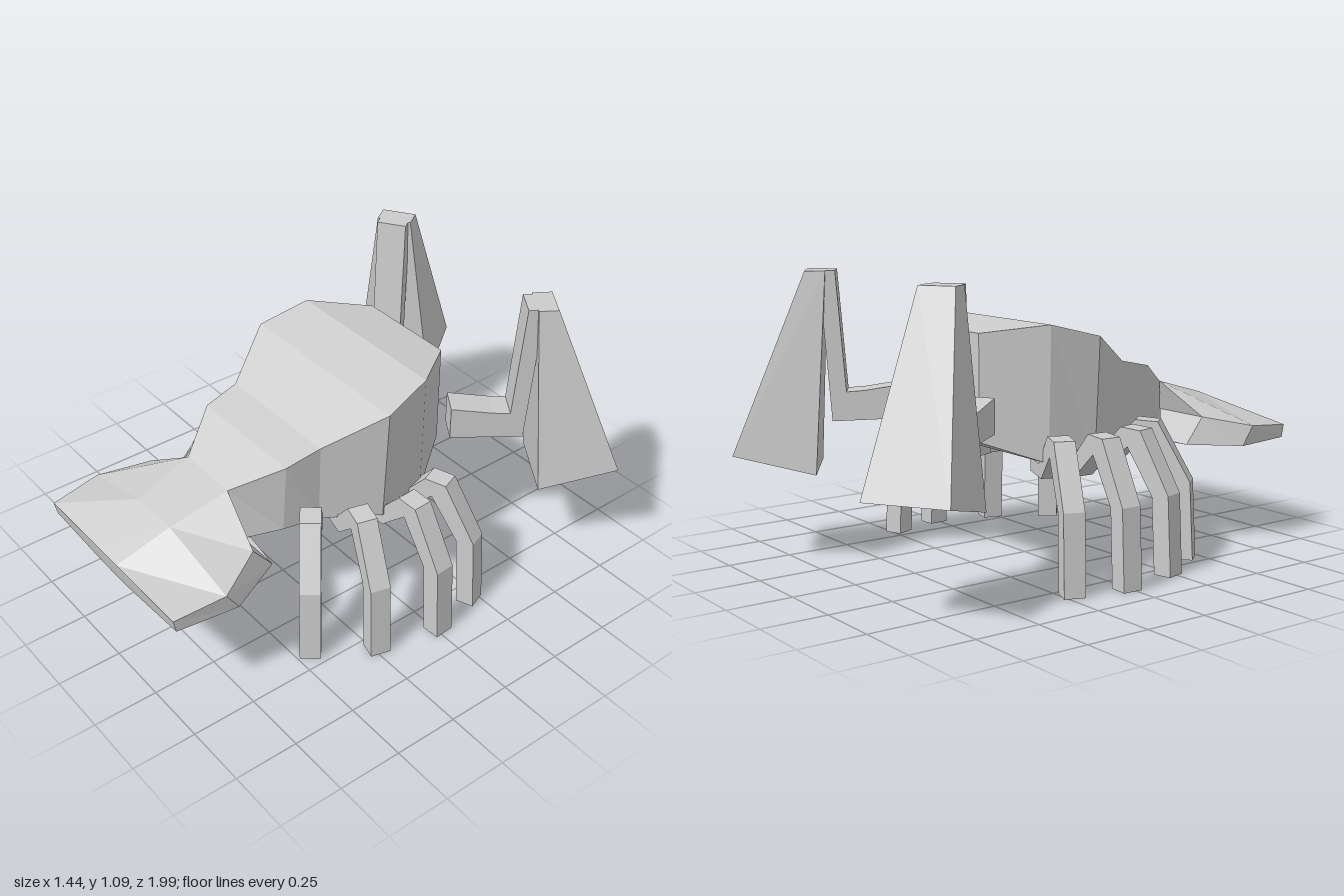
import * as THREE from 'three';

const material = new THREE.MeshStandardMaterial({ color: 0xcccccc, flatShading: true });

// Faceted solid from equal-length rings of [x, y, z], ordered counterclockwise
// about the stacking direction; caps are strips between opposite ring points.
function loft(rings) {
  const pos = [];
  const quad = (a, b, c, d) => pos.push(...a, ...b, ...c, ...a, ...c, ...d);
  const n = rings[0].length;
  for (let i = 0; i < rings.length - 1; i++) {
    for (let j = 0; j < n; j++) {
      const k = (j + 1) % n;
      quad(rings[i][j], rings[i][k], rings[i + 1][k], rings[i + 1][j]);
    }
  }
  const first = rings[0], last = rings[rings.length - 1];
  for (let j = 0; j < n / 2 - 1; j++) {
    quad(last[j], last[j + 1], last[n - 2 - j], last[n - 1 - j]);
    quad(first[n - 1 - j], first[n - 2 - j], first[j + 1], first[j]);
  }
  const geo = new THREE.BufferGeometry();
  geo.setAttribute('position', new THREE.Float32BufferAttribute(pos, 3));
  geo.computeVertexNormals();
  return geo;
}

// Side outline extruded to a beam centred on z = 0
function beam(outline, width) {
  const shape = new THREE.Shape(outline.map(p => new THREE.Vector2(...p)));
  return new THREE.ExtrudeGeometry(shape, { depth: width, bevelEnabled: false }).translate(0, 0, -width / 2);
}

function part(name, geometry) {
  const mesh = new THREE.Mesh(geometry, material);
  mesh.name = name;
  return mesh;
}

// Right half of a ring (bottom to top), completed by its mirror image
const mirrorRing = half => [...half, ...half.slice().reverse().map(([x, y, z]) => [-x, y, z])];

function createBody() {
  // z, top y, bottom y, top half width, bottom half width
  const stations = [
    [-0.35, 0.89, 0.50, 0.20, 0.20],
    [-0.145, 0.92, 0.42, 0.35, 0.34],
    [0.05, 0.87, 0.41, 0.385, 0.36],
    [0.26, 0.75, 0.43, 0.26, 0.25],
    [0.40, 0.72, 0.43, 0.245, 0.22],
    [0.57, 0.63, 0.41, 0.125, 0.14],
  ];
  return part('body', loft(stations.map(([z, top, bottom, wt, wb]) =>
    mirrorRing([[wb, bottom, z], [wt, top, z]]))));
}

function createTailFan() {
  // Each half ring: underside, lower rim, upper rim, crest
  return part('tailFan', loft([
    [[0.12, 0.41, 0.50], [0.33, 0.41, 0.53], [0.33, 0.51, 0.61], [0.125, 0.63, 0.57]],
    [[0.10, 0.37, 0.76], [0.425, 0.395, 0.74], [0.425, 0.47, 0.79], [0.10, 0.565, 0.80]],
    [[0.08, 0.36, 0.97], [0.40, 0.40, 0.98], [0.40, 0.45, 0.99], [0.06, 0.47, 1.0]],
  ].map(mirrorRing)));
}

function createClaw() {
  const claw = new THREE.Group();
  claw.name = 'claw';
  // Arm reaches outward, then bends up to the tip of the pincer
  const arm = part('clawArm', beam([
    [0.44, 0.54], [0.72, 0.53], [0.76, 1.09], [0.70, 1.09], [0.666, 0.64], [0.60, 0.645], [0.44, 0.67],
  ], 0.115));
  const rect = (u0, u1, w, y0, y1) => [[u0, y0, -w], [u0, y0, w], [u1, y1, w], [u1, y1, -w]];
  const pincer = part('pincer', loft([
    rect(0.776, 1.08, 0.156, 0.345, 0.42),
    rect(0.735, 0.81, 0.067, 1.09, 1.09),
  ]));
  arm.position.z = pincer.position.z = -0.01;
  claw.add(arm, pincer);
  claw.rotation.y = 0.986;
  return claw;
}

const LEG_REACH = 0.655;
const legGeometry = beam([
  [0.20, 0.36], [0.35, 0.36], [0.46, 0.46], [0.57, 0.29], [0.585, 0],
  [LEG_REACH, 0], [0.64, 0.30], [0.515, 0.525], [0.43, 0.53], [0.32, 0.41], [0.20, 0.41],
], 0.078);

function createSide(name, sign) {
  const side = new THREE.Group();
  side.name = name;
  side.add(createClaw());
  // Foot x, foot z, turn in degrees
  const feet = [[0.60, -0.23, 22], [0.655, -0.015, 4], [0.595, 0.243, -15], [0.455, 0.462, -39]];
  feet.forEach(([x, z, turn], i) => {
    const leg = part('leg' + (i + 1), legGeometry);
    const a = THREE.MathUtils.degToRad(turn);
    leg.rotation.y = a;
    leg.position.set(x - LEG_REACH * Math.cos(a), 0, z + LEG_REACH * Math.sin(a));
    side.add(leg);
  });
  side.scale.x = sign;
  return side;
}

export function createModel() {
  const model = new THREE.Group();
  model.name = 'crustacean';
  model.add(createBody(), createTailFan(), createSide('leftLimbs', 1), createSide('rightLimbs', -1));
  return model;
}
